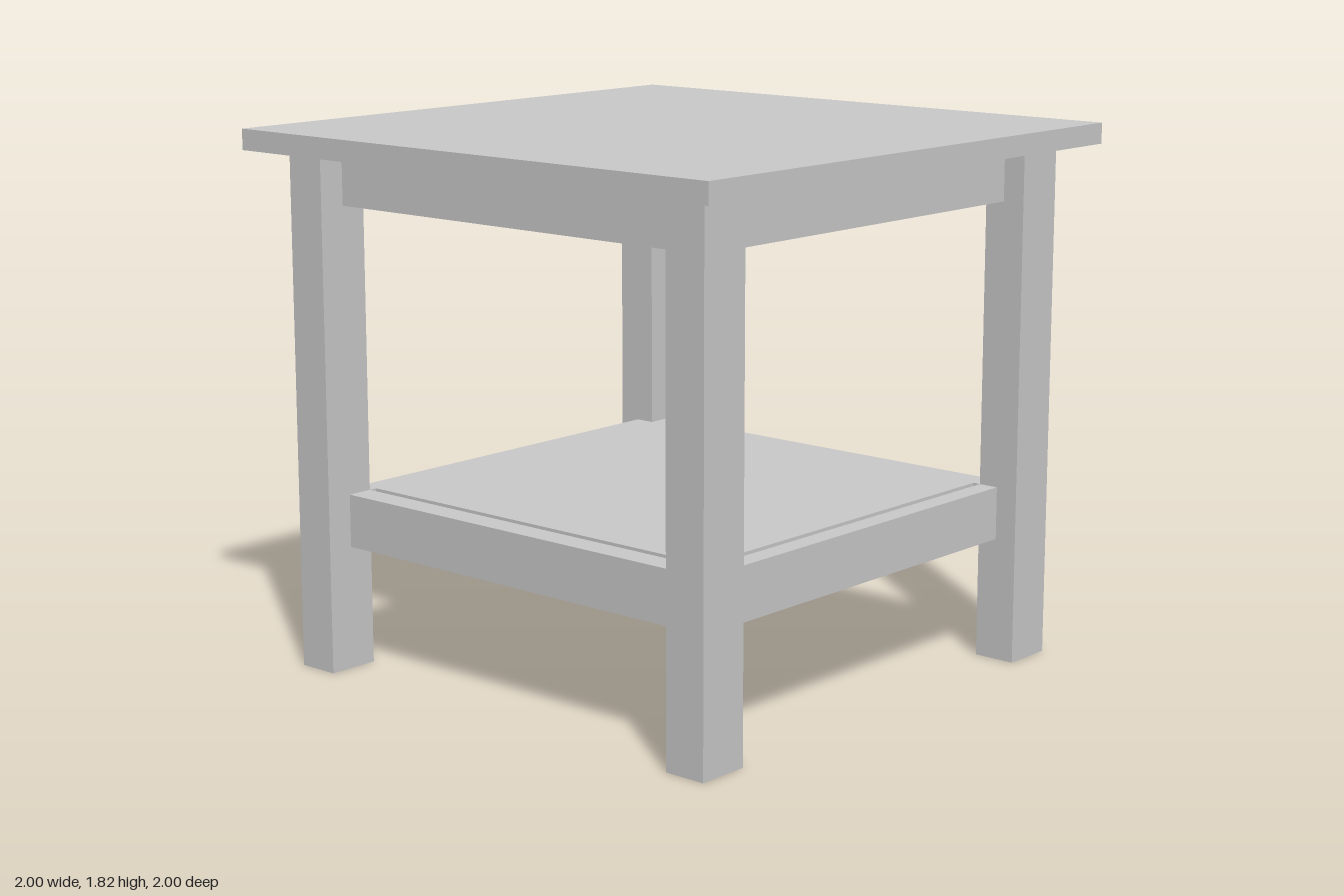
import * as THREE from 'three';

const LEG = { inX: 0.71, inZ: 0.745, out: 0.893 };
const RAIL = { outX: 0.80, outZ: 0.815, height: 0.18 };
const TOP_UNDER = 1.75, HEIGHT = 1.82;

export function createModel() {
  const table = new THREE.Group();
  table.name = 'sideTable';
  const material = new THREE.MeshStandardMaterial({ color: 0xcccccc, flatShading: true });

  // Box spanning two opposite corners
  const board = (name, [x0, y0, z0], [x1, y1, z1]) => {
    const mesh = new THREE.Mesh(
      new THREE.BoxGeometry(Math.abs(x1 - x0), Math.abs(y1 - y0), Math.abs(z1 - z0)), material);
    mesh.position.set((x0 + x1) / 2, (y0 + y1) / 2, (z0 + z1) / 2);
    mesh.name = name;
    table.add(mesh);
  };

  // Square top
  board('tableTop', [-1, TOP_UNDER, -1], [1, HEIGHT, 1]);

  // Four legs, wider across x than z
  for (const [sx, side] of [[1, 'Left'], [-1, 'Right']]) {
    for (const [sz, end] of [[1, 'front'], [-1, 'back']]) {
      board(`${end}${side}Leg`,
        [sx * LEG.inX, 0, sz * LEG.inZ],
        [sx * LEG.out, TOP_UNDER, sz * LEG.out]);
    }
  }

  // Apron under the top and matching rails around the shelf, set back from the leg faces
  for (const [part, y0] of [['Apron', TOP_UNDER - RAIL.height], ['ShelfRail', 0.42]]) {
    const y1 = y0 + RAIL.height;
    for (const [s, end, side] of [[1, 'front', 'left'], [-1, 'back', 'right']]) {
      board(end + part, [-LEG.inX, y0, s * LEG.inZ], [LEG.inX, y1, s * RAIL.outZ]);
      board(side + part, [s * LEG.inX, y0, -LEG.inZ], [s * RAIL.outX, y1, LEG.inZ]);
    }
  }

  // Shelf panel with a narrow gap to its rails, standing slightly proud of them
  board('shelf', [-0.695, 0.51, -0.73], [0.695, 0.605, 0.73]);

  return table;
}
